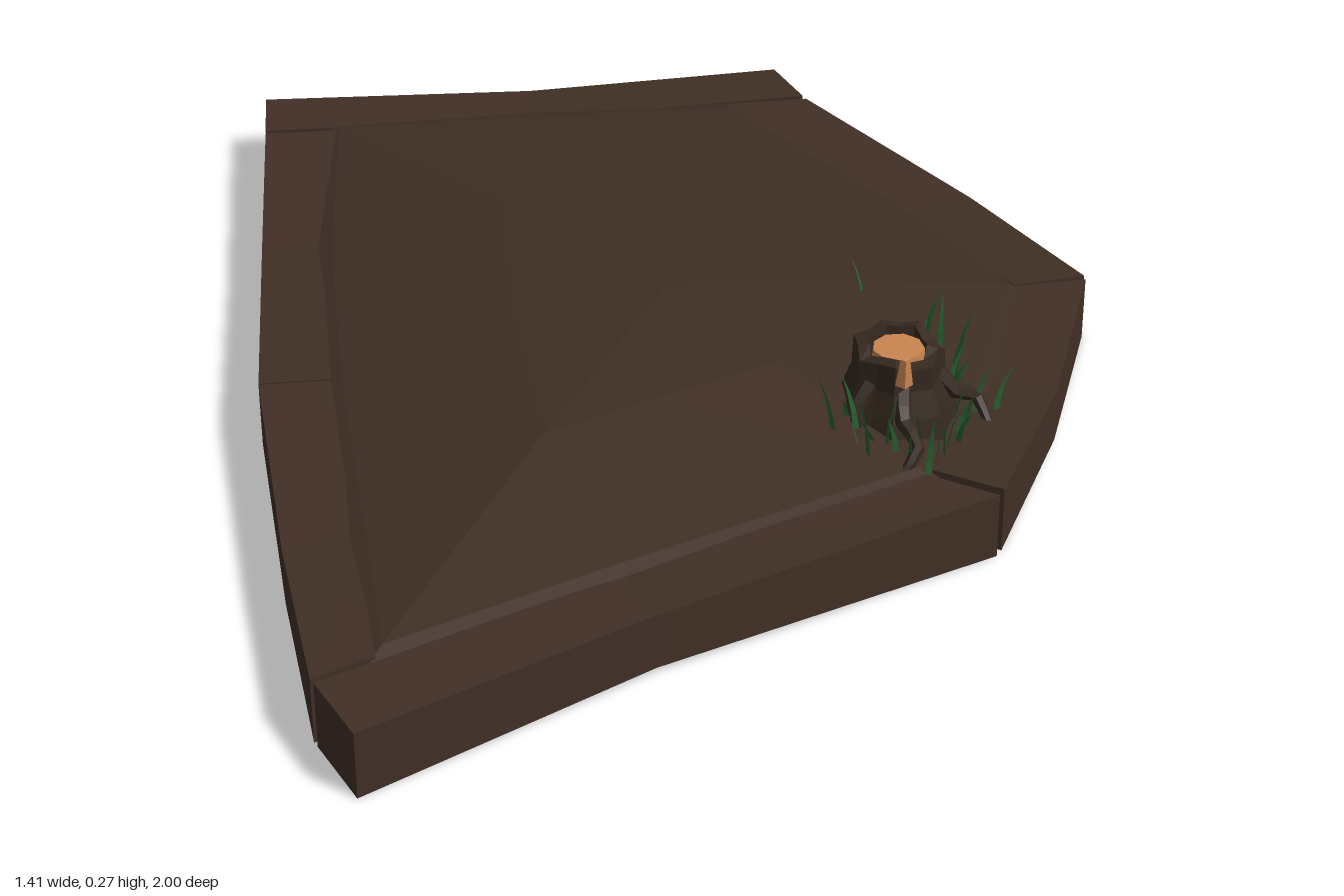
import * as THREE from 'three';

const V = (x, y, z) => new THREE.Vector3(x, y, z);
const material = (name, color, opts = {}) => {
  const m = new THREE.MeshStandardMaterial({ color, flatShading: true, ...opts });
  m.name = name;
  return m;
};

let seed = 7;
const rand = () => (seed = (seed * 16807) % 2147483647) / 2147483647;

// Collects quads and triangles into one faceted geometry
class Facets {
  constructor() { this.points = []; }
  tri(...p) { this.points.push(...p); }
  quad(a, b, c, d) { this.tri(a, b, c, a, c, d); }
  geometry() {
    const g = new THREE.BufferGeometry().setFromPoints(this.points);
    g.computeVertexNormals();
    return g;
  }
}

export function createModel() {
  const model = new THREE.Group();
  model.name = 'gardenPlot';
  const timber = material('timber brown', 0x402f25);
  const earth = material('earth brown', 0x3e2e24, { side: THREE.DoubleSide });
  const bark = material('dark bark', 0x35281f, { side: THREE.DoubleSide });
  const cutWood = material('cut wood', 0xc98450);
  const grass = material('grass green', 0x27602f, { side: THREE.DoubleSide });

  const add = (name, geometry, mat, parent = model) => {
    const mesh = new THREE.Mesh(geometry, mat);
    mesh.name = name;
    parent.add(mesh);
    return mesh;
  };

  // Border beams: outer and inner edge as [x, z] at start, middle and end
  const beams = {
    backBeam: [[[-0.7, -0.97], [-0.2, -0.97], [0.27, -1]], [[-0.7, -0.842], [-0.2, -0.855], [0.31, -0.885]]],
    backLeftBeam: [[[0.315, -0.872], [0.56, -0.47], [0.705, -0.162]], [[0.16, -0.865], [0.43, -0.42], [0.58, -0.142]]],
    frontLeftBeam: [[[0.705, -0.15], [0.59, 0.19], [0.45, 0.48]], [[0.58, -0.138], [0.47, 0.15], [0.34, 0.41]]],
    frontBeam: [[[0.44, 0.495], [-0.12, 0.75], [-0.57, 1]], [[0.335, 0.425], [-0.16, 0.64], [-0.625, 0.875]]],
    frontRightBeam: [[[-0.63, 0.865], [-0.67, 0.53], [-0.708, 0.054]], [[-0.535, 0.82], [-0.56, 0.5], [-0.59, 0.052]]],
    backRightBeam: [[[-0.708, 0.05], [-0.705, -0.4], [-0.7, -0.832]], [[-0.59, 0.048], [-0.6, -0.4], [-0.565, -0.832]]],
  };
  const border = new THREE.Group();
  border.name = 'border';
  model.add(border);
  for (const [name, [outer, inner]] of Object.entries(beams)) {
    const sections = outer.map(([ox, oz], i) => {
      const [ix, iz] = inner[i];
      const top = i === 1 ? 0.11 : 0.117, low = i === 1 ? 0.014 : 0.002;
      return [V(ox, top, oz), V(ix, top, iz), V(ix, low, iz), V(ox, low, oz)];
    });
    const f = new Facets();
    for (let s = 0; s < 2; s++) {
      const a = sections[s], b = sections[s + 1];
      for (let k = 0; k < 4; k++) f.quad(a[k], a[(k + 1) % 4], b[(k + 1) % 4], b[k]);
    }
    const [a, , b] = sections;
    f.quad(a[0], a[3], a[2], a[1]);
    f.quad(b[0], b[1], b[2], b[3]);
    add(name, f.geometry(), timber, border);
  }

  // Domed soil: rings that shrink from the border towards the peak
  const rim = [[-0.58, -0.86], [-0.2, -0.87], [0.17, -0.87], [0.44, -0.42], [0.59, -0.14], [0.48, 0.16],
    [0.34, 0.42], [-0.16, 0.64], [-0.54, 0.82], [-0.56, 0.5], [-0.59, 0.05], [-0.6, -0.4]];
  const peak = V(-0.03, 0.205, -0.05);
  const rings = [[1.06, 0.1], [0.97, 0.119], [0.45, 0.177]].map(([k, y]) =>
    rim.map(([x, z]) => V(peak.x + (x - peak.x) * k, y, peak.z + (z - peak.z) * k)));
  const soil = new Facets();
  rim.forEach((_, i) => {
    const j = (i + 1) % rim.length;
    for (let r = 0; r < 2; r++) soil.quad(rings[r][i], rings[r + 1][i], rings[r + 1][j], rings[r][j]);
    soil.tri(rings[2][i], peak, rings[2][j]);
  });
  add('soil', soil.geometry(), earth);

  // Hollow stump with a jagged bark rim
  const stump = new THREE.Group();
  stump.name = 'stump';
  stump.position.set(0.315, 0, 0.245);
  model.add(stump);
  const sides = 14;
  const profile = [[0.1, 0.1], [0.087, 0.155], [0.072, 0.2], [0.07, 0.245], [0.05, 0.248], [0.045, 0.215]];
  const columns = Array.from({ length: sides }, (_, i) => {
    const a = (i / sides) * Math.PI * 2, bump = i % 2 ? 0.93 : 1.07, lift = (rand() - 0.5) * 0.022;
    return profile.map(([r, y], k) =>
      V(Math.cos(a) * r * bump, y + (k === 3 || k === 4 ? lift : 0), Math.sin(a) * r * bump * 1.05));
  });
  const shell = new Facets();
  columns.forEach((c, i) => {
    const n = columns[(i + 1) % sides];
    for (let k = 0; k < profile.length - 1; k++) shell.quad(c[k], c[k + 1], n[k + 1], n[k]);
  });
  add('stumpBark', shell.geometry(), bark, stump);
  add('stumpHeartwood', new THREE.CylinderGeometry(0.042, 0.045, 0.03, 9), cutWood, stump).position.y = 0.228;
  const splinter = add('woodSplinter', new THREE.CylinderGeometry(0.008, 0.015, 0.05, 5), cutWood, stump);
  splinter.position.set(-0.004, 0.25, 0.085);
  splinter.rotation.x = 0.12;

  // Roots: tapered tubes that dive into the soil
  [[0.1, 0.15], [1.6, 0.17], [2.5, 0.11], [4.6, 0.13], [5.5, 0.12]].forEach(([a, reach]) => {
    const at = (r, y, turn = 0) => V(Math.cos(a + turn) * r, y, Math.sin(a + turn) * r);
    const curve = new THREE.CatmullRomCurve3(
      [at(0.06, 0.2), at(0.095, 0.16), at(reach * 0.85, 0.145, -0.12), at(reach, 0.105, 0.08)]);
    const g = new THREE.TubeGeometry(curve, 6, 0.018, 6);
    const p = g.attributes.position, v = V(0, 0, 0);
    for (let i = 0; i < p.count; i++) {
      const t = Math.floor(i / 7) / 6, c = curve.getPointAt(t);
      v.fromBufferAttribute(p, i).sub(c).multiplyScalar(1 - 0.6 * t).add(c);
      p.setXYZ(i, v.x, v.y, v.z);
    }
    add('root', g, bark, stump);
  });

  // Grass blades: thin ribbons that bend over towards the tip
  const blades = new Facets();
  const blade = (x, z, tip, bend) => {
    const base = 0.105, w = 0.006, turn = rand() * Math.PI;
    const wx = Math.cos(turn) * w, wz = Math.sin(turn) * w;
    const dx = Math.cos(bend) * 0.028, dz = Math.sin(bend) * 0.028;
    const row = (t) => {
      const k = 1 - t ** 2, cx = x + dx * t * t, cz = z + dz * t * t, y = base + (tip - base) * t;
      return [V(cx - wx * k, y, cz - wz * k), V(cx + wx * k, y, cz + wz * k)];
    };
    for (let s = 0; s < 4; s++) {
      const [a, b] = row(s / 4), [c, d] = row((s + 1) / 4);
      blades.quad(a, b, d, c);
    }
  };
  for (let i = 0; i < 24; i++) {
    const a = -1.1 + (i / 23) * 4.1, r = 0.105 + rand() * 0.05;
    blade(0.315 + Math.cos(a) * r * 0.85, 0.25 + Math.sin(a) * r, 0.17 + rand() * 0.08, a + rand() * 2 - 1);
  }
  [[0.31, -0.07, 0.235, 3], [0.395, 0.03, 0.22, 0], [0.48, 0.24, 0.2, 0], [0.42, 0.17, 0.265, 0.2],
    [0.25, 0.38, 0.26, 2.6], [0.34, 0.42, 0.235, 1.5], [0.41, 0.09, 0.23, 5]].forEach((b) => blade(...b));
  add('grassBlades', blades.geometry(), grass);

  return model;
}
